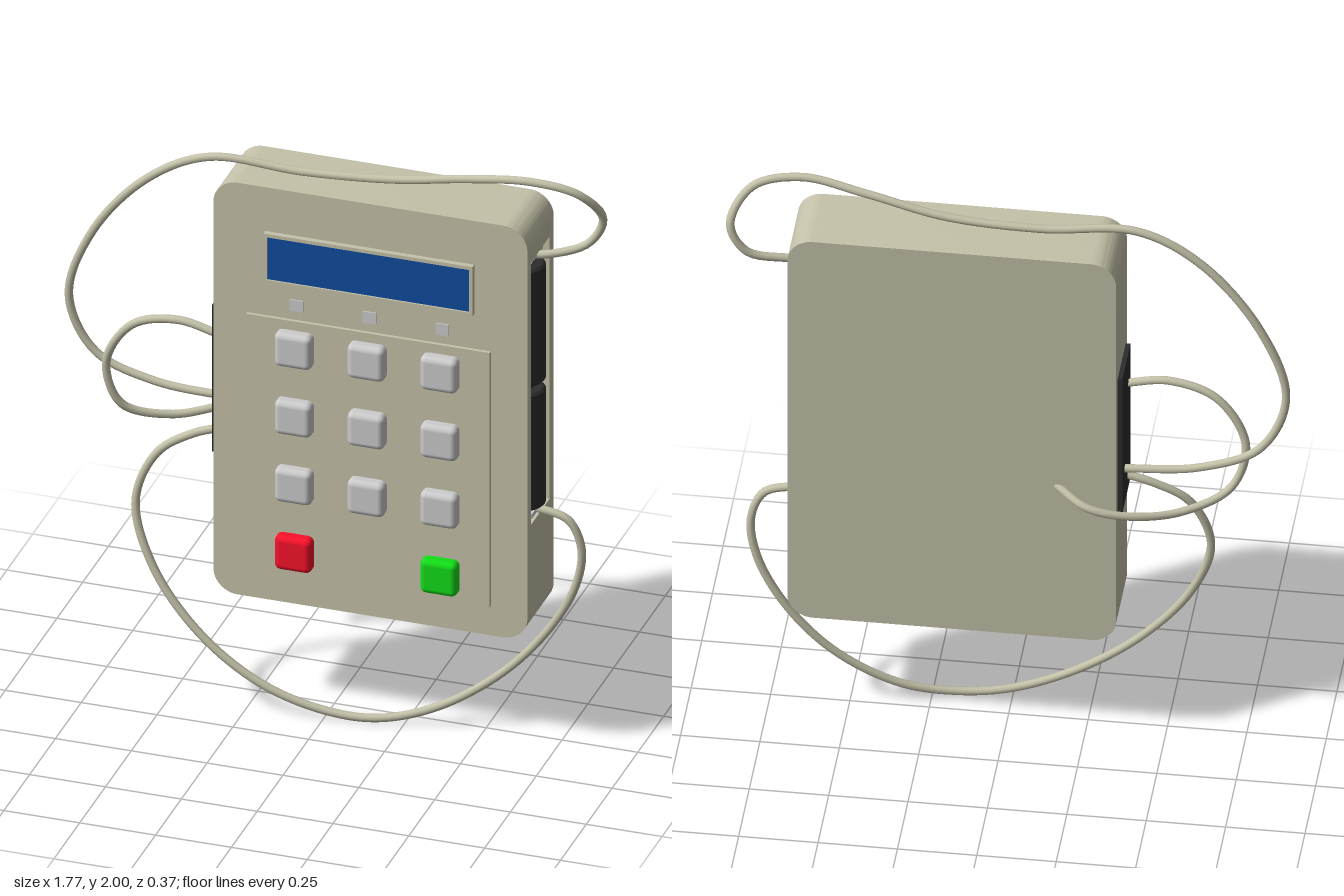
import * as THREE from 'three';
import { toCreasedNormals } from 'three/addons/utils/BufferGeometryUtils.js';
import { RoundedBoxGeometry } from 'three/addons/geometries/RoundedBoxGeometry.js';

const mat = (color, side = THREE.FrontSide) => new THREE.MeshStandardMaterial({ color, side });

export function createModel() {
  const model = new THREE.Group();
  const casing = mat(0xc4c2a9), grey = mat(0xcccccc), dark = mat(0x2c2c2c);
  const blue = mat(0x104c9e), red = mat(0xf8112a), green = mat(0x12dd18);

  const add = (name, geometry, material, x = 0, y = 0, z = 0) => {
    const mesh = new THREE.Mesh(geometry, material);
    mesh.name = name;
    mesh.position.set(x, y, z);
    model.add(mesh);
    return mesh;
  };
  // Box given by its limits on each axis
  const block = (name, material, x0, x1, y0, y1, z0, z1) =>
    add(name, new THREE.BoxGeometry(x1 - x0, y1 - y0, z1 - z0), material,
      (x0 + x1) / 2, (y0 + y1) / 2, (z0 + z1) / 2);

  // Casing: back plate, middle with the battery pocket cut in, front plate
  const L = -0.355, R = 0.68, B = 0.405, T = 1.865, r = 0.08;
  const outline = (pocket) => {
    const s = new THREE.Shape();
    s.moveTo(L + r, B);
    s.lineTo(R - r, B);
    s.absarc(R - r, B + r, r, -Math.PI / 2, 0);
    if (pocket) {
      s.lineTo(R, 0.8);
      s.lineTo(0.555, 0.8);
      s.lineTo(0.555, 1.73);
      s.lineTo(R, 1.73);
    }
    s.absarc(R - r, T - r, r, 0, Math.PI / 2);
    s.absarc(L + r, T - r, r, Math.PI / 2, Math.PI);
    s.absarc(L + r, B + r, r, Math.PI, Math.PI * 1.5);
    return s;
  };
  const layer = (name, z0, z1, pocket) => {
    const g = new THREE.ExtrudeGeometry(outline(pocket),
      { depth: z1 - z0, bevelEnabled: false, curveSegments: 12 });
    add(name, toCreasedNormals(g, 0.6), casing, 0, 0, z0);
  };
  layer('backPlate', -0.125, -0.085, false);
  layer('casingMiddle', -0.085, 0.095, true);
  layer('frontPlate', 0.095, 0.13, false);

  // Display: four frame bars around a slightly sunken screen
  block('displayFrameBottom', casing, -0.185, 0.505, 1.535, 1.547, 0.125, 0.148);
  block('displayFrameTop', casing, -0.185, 0.505, 1.698, 1.71, 0.125, 0.148);
  block('displayFrameRight', casing, -0.185, -0.173, 1.547, 1.698, 0.125, 0.148);
  block('displayFrameLeft', casing, 0.493, 0.505, 1.547, 1.698, 0.125, 0.148);
  block('screen', blue, -0.173, 0.493, 1.547, 1.698, 0.125, 0.142);

  // Keypad panel, keys and the small indicators above them
  block('keypadPanel', casing, -0.243, 0.56, 0.51, 1.412, 0.125, 0.142);
  const columns = [-0.08, 0.16, 0.4];
  const key = new RoundedBoxGeometry(0.122, 0.12, 0.06, 3, 0.02);
  for (const x of columns) {
    for (const y of [1.32, 1.08, 0.84]) add('key', key, grey, x, y, 0.15);
    block('indicator', grey, x - 0.022, x + 0.022, 1.443, 1.483, 0.125, 0.134);
  }
  add('redKey', key, red, columns[0], 0.6, 0.15);
  add('greenKey', key, green, columns[2], 0.6, 0.15);

  // Connector pad on the right side
  block('connectorPad', dark, -0.37, -0.35, 0.88, 1.4, -0.09, 0.1);

  // Two batteries with terminals in the side pocket
  const profile = [[0, 0], [0.058, 0], [0.065, 0.008], [0.065, 0.407], [0.058, 0.415],
    [0.028, 0.415], [0.028, 0.437], [0, 0.437]].map(([x, y]) => new THREE.Vector2(x, y));
  const battery = toCreasedNormals(new THREE.LatheGeometry(profile, 32), 0.5);
  for (const y of [0.825, 1.265]) add('battery', battery, dark, 0.63, y, 0.005);
  block('batteryContact', grey, 0.575, 0.67, 0.8, 0.815, -0.05, 0.06);
  block('batteryContact', grey, 0.575, 0.67, 1.705, 1.72, -0.05, 0.06);

  // Wires
  const wire = (name, points) => {
    const curve = new THREE.CatmullRomCurve3(points.map(p => new THREE.Vector3(...p)));
    add(name, new THREE.TubeGeometry(curve, 160, 0.0135, 10), mat(0xc4c2a9, THREE.DoubleSide));
  };
  wire('upperWire', [
    [-0.35, 1.01, -0.03], [-0.6, 1.03, -0.02], [-0.79, 1.11, -0.005], [-0.872, 1.3, 0.01],
    [-0.79, 1.55, 0.02], [-0.6, 1.78, 0.035], [-0.4, 1.887, 0.035], [-0.1, 1.879, 0.02],
    [0.2, 1.9, 0.015], [0.45, 1.953, 0.03], [0.66, 1.987, 0.045], [0.81, 1.955, 0.02],
    [0.872, 1.85, -0.04], [0.82, 1.75, -0.045], [0.7, 1.71, -0.01], [0.61, 1.705, 0.005],
  ]);
  wire('loopWire', [
    [-0.35, 1.275, 0.06], [-0.5, 1.302, 0.055], [-0.65, 1.255, 0.045], [-0.742, 1.1, 0.03],
    [-0.7, 0.945, 0.005], [-0.56, 0.893, -0.07], [-0.4, 0.915, -0.15],
    [-0.27, 0.95, -0.17], [-0.165, 0.99, -0.115],
  ]);
  wire('lowerWire', [
    [-0.35, 0.94, 0.04], [-0.45, 0.905, 0.05], [-0.56, 0.83, 0.07], [-0.625, 0.66, 0.09],
    [-0.56, 0.45, 0.115], [-0.4, 0.245, 0.13], [-0.2, 0.1, 0.125], [0, 0.027, 0.1],
    [0.17, 0.016, 0.075], [0.35, 0.065, 0.03], [0.55, 0.2, -0.01], [0.7, 0.375, -0.025],
    [0.79, 0.55, -0.02], [0.81, 0.69, -0.01], [0.77, 0.785, 0], [0.69, 0.81, 0.005], [0.61, 0.815, 0.005],
  ]);

  return model;
}
